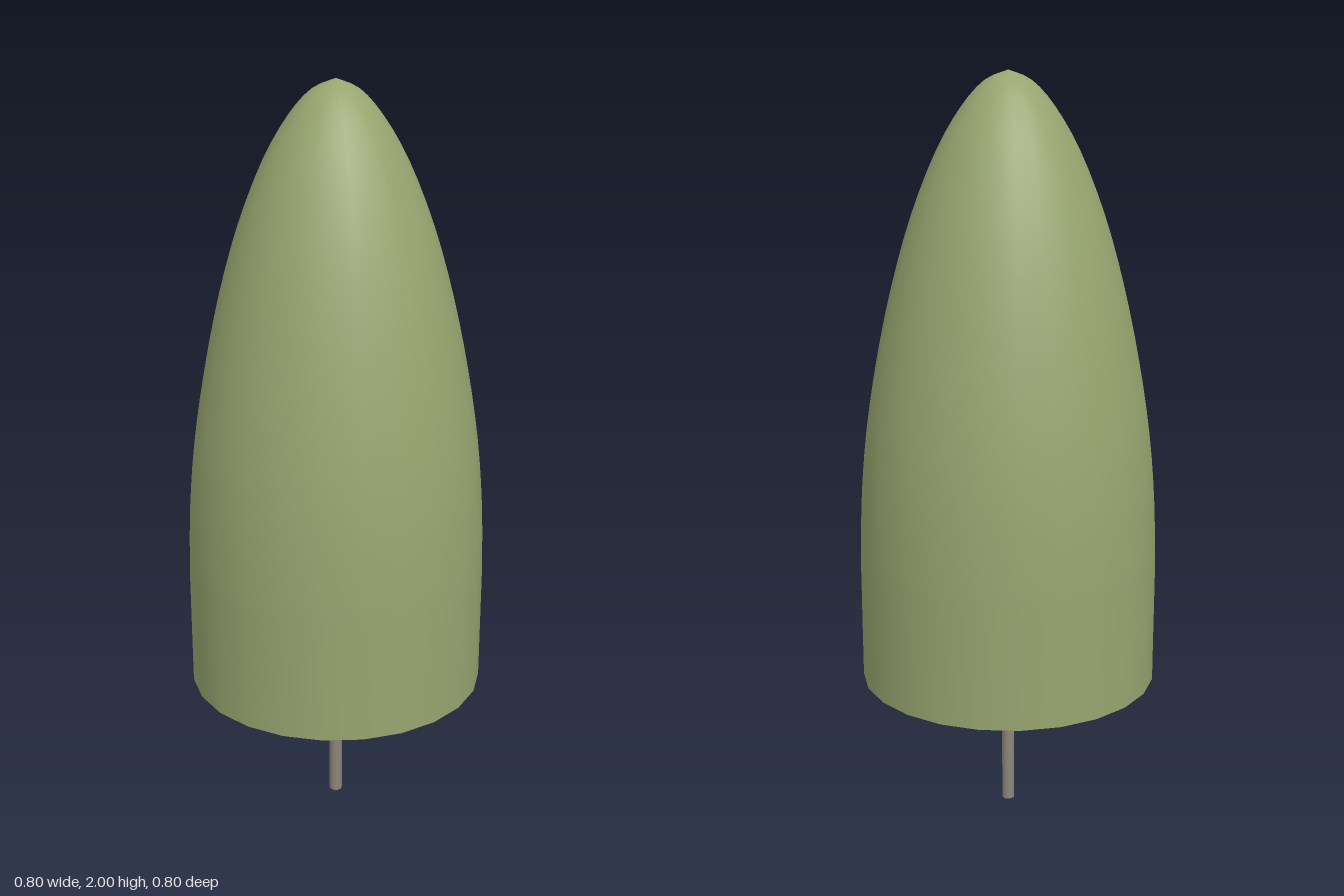
import * as THREE from 'three';

export function createModel() {
  const model = new THREE.Group();
  const SIDES = 24;
  const foliageMaterial = new THREE.MeshStandardMaterial({ color: 0x97a56f });
  const stemMaterial = new THREE.MeshStandardMaterial({ color: 0x8c877b });

  // Foliage: bullet-shaped crown, straight at the skirt and curving to a rounded tip
  const curve = new THREE.SplineCurve([
    [0.4, 0.72], [0.393, 0.9], [0.376, 1.08], [0.345, 1.27], [0.303, 1.46],
    [0.25, 1.64], [0.185, 1.8], [0.12, 1.91], [0.06, 1.975], [0, 2],
  ].map(([r, y]) => new THREE.Vector2(r, y)));
  const profile = [new THREE.Vector2(0.4, 0.39), ...curve.getPoints(27)];
  profile[profile.length - 1].x = 0;
  const crown = new THREE.Mesh(new THREE.LatheGeometry(profile, SIDES), foliageMaterial);
  crown.name = 'foliage';
  model.add(crown);

  // Flat underside closing the crown
  const underside = new THREE.Mesh(new THREE.CircleGeometry(0.4, SIDES), foliageMaterial);
  underside.rotation.x = Math.PI / 2;
  underside.position.y = 0.39;
  underside.name = 'foliageUnderside';
  model.add(underside);

  // Trunk: thin stem reaching the ground
  const trunk = new THREE.Mesh(new THREE.CylinderGeometry(0.018, 0.018, 0.4, 8), stemMaterial);
  trunk.position.y = 0.2;
  trunk.name = 'trunk';
  model.add(trunk);

  return model;
}
